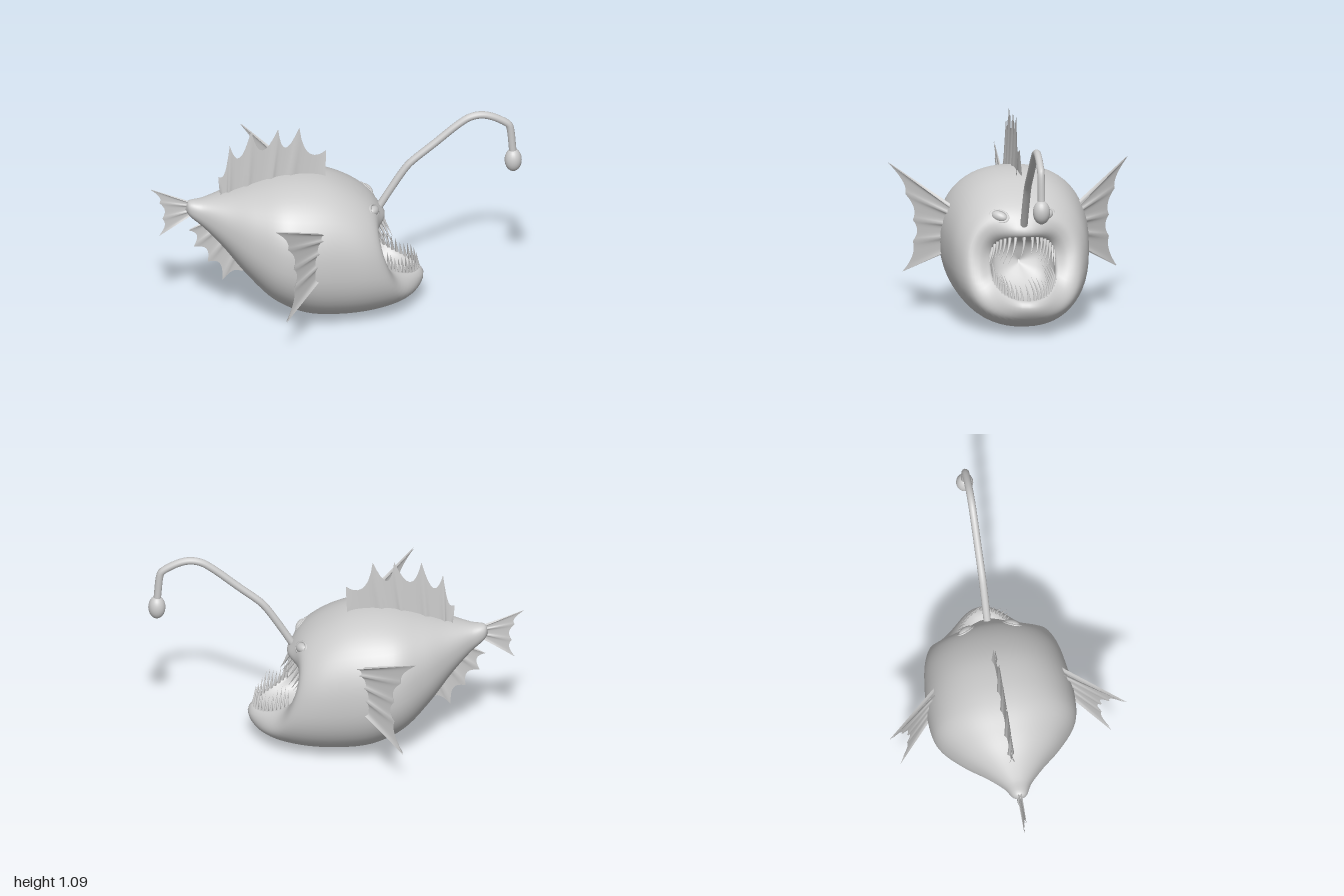
import * as THREE from 'three';

const mat = new THREE.MeshStandardMaterial({ color: 0xcccccc, side: THREE.DoubleSide });
const V = (x, y, z = 0) => new THREE.Vector3(x, y, z);

// Body sections, tail to lips and on into the mouth:
// top x, top y, bottom x, bottom y, half width, how far the sides sweep back
const sections = [
  [-0.81, 0.64, -0.81, 0.63, 0.003, 0],
  [-0.795, 0.677, -0.79, 0.595, 0.037, 0],
  [-0.72, 0.685, -0.72, 0.53, 0.075, 0],
  [-0.6, 0.71, -0.62, 0.42, 0.165, 0],
  [-0.46, 0.752, -0.5, 0.265, 0.285, 0],
  [-0.32, 0.787, -0.36, 0.12, 0.38, 0],
  [-0.2, 0.795, -0.19, 0.03, 0.397, 0],
  [-0.05, 0.775, 0, 0.003, 0.383, 0],
  [0.08, 0.72, 0.2, 0.014, 0.355, 0.01],
  [0.18, 0.65, 0.35, 0.05, 0.305, 0.04],
  [0.235, 0.585, 0.44, 0.1, 0.24, 0.1],
  [0.262, 0.535, 0.47, 0.165, 0.195, 0.15],
  [0.25, 0.508, 0.445, 0.2, 0.175, 0.15],
  [0.16, 0.5, 0.32, 0.18, 0.17, 0.1],
  [0.06, 0.45, 0.16, 0.2, 0.13, 0.04],
  [0.02, 0.34, 0.03, 0.32, 0.005, 0],
];
const topCurve = new THREE.CatmullRomCurve3(sections.map(s => V(s[0], s[1], s[4])));
const lowCurve = new THREE.CatmullRomCurve3(sections.map(s => V(s[2], s[3], s[5])));

// Point on the body skin: section number and angle from the top toward +z
function skin(section, angle) {
  const t = section / (sections.length - 1);
  const a = topCurve.getPoint(t), b = lowCurve.getPoint(t);
  const power = 2 / (2.25 + 0.5 * THREE.MathUtils.smoothstep(section, 8, 12));
  const round = v => Math.sign(v) * Math.abs(v) ** power;
  const c = round(Math.cos(angle)), s = round(Math.sin(angle));
  return V((a.x + b.x) / 2 + (a.x - b.x) / 2 * c - b.z * s * s,
    (a.y + b.y) / 2 + (a.y - b.y) / 2 * c, a.z * s);
}

function geometryFrom(points, index) {
  const g = new THREE.BufferGeometry().setFromPoints(points);
  g.setIndex(index);
  g.computeVertexNormals();
  return g;
}

function bodyGeometry() {
  const rings = (sections.length - 1) * 5, around = 56, points = [], index = [];
  for (let i = 0; i <= rings; i++)
    for (let j = 0; j < around; j++) points.push(skin(i / 5, j / around * Math.PI * 2));
  for (let i = 0; i < rings; i++)
    for (let j = 0; j < around; j++) {
      const a = i * around + j, b = i * around + (j + 1) % around;
      index.push(a, b, a + around, b, b + around, a + around);
    }
  return geometryFrom(points, index);
}

// Webbed fin: thick along the rays, thin and scalloped between them.
// Each ray is [root x, root y, tip x, tip y].
function finGeometry(rays, scallop, thickness) {
  const sub = 8, rows = 8, cols = (rays.length - 1) * sub, points = [], index = [];
  for (const side of [1, -1]) {
    const start = points.length;
    for (let i = 0; i <= cols; i++) {
      const k = Math.min(Math.floor(i / sub), rays.length - 2), f = i / sub - k;
      const r = rays[k].map((v, n) => v + (rays[k + 1][n] - v) * f);
      const reach = 1 - scallop * 4 * f * (1 - f);
      const ridge = 0.25 + 0.75 * (1 - 2 * f) ** 4;
      for (let j = 0; j <= rows; j++) {
        const v = j / rows, l = v * reach;
        points.push(V(r[0] + (r[2] - r[0]) * l, r[1] + (r[3] - r[1]) * l,
          side * thickness * ridge * (1 - 0.85 * v)));
      }
    }
    for (let i = 0; i < cols; i++)
      for (let j = 0; j < rows; j++) {
        const a = start + i * (rows + 1) + j, b = a + rows + 1;
        if (side > 0) index.push(a, a + 1, b, b, a + 1, b + 1);
        else index.push(a, b, a + 1, b, b + 1, a + 1);
      }
  }
  return geometryFrom(points, index);
}

// Curved tooth with its root at the origin, pointing up and hooking toward +z
function toothGeometry(length) {
  const g = new THREE.ConeGeometry(0.0095, length, 7, 5).translate(0, length / 2, 0);
  const p = g.attributes.position;
  for (let i = 0; i < p.count; i++) p.setZ(i, p.getZ(i) + 0.25 * length * (p.getY(i) / length) ** 2);
  g.computeVertexNormals();
  return g;
}

export function createModel() {
  const model = new THREE.Group();
  const add = (name, geometry, parent = model) => {
    const m = new THREE.Mesh(geometry, mat);
    m.name = name;
    parent.add(m);
    return m;
  };

  add('body', bodyGeometry());

  // Fins on the centre line
  add('dorsalFin', finGeometry([
    [-0.62, 0.68, -0.632, 0.8], [-0.58, 0.69, -0.57, 0.985], [-0.48, 0.72, -0.455, 1.065],
    [-0.35, 0.75, -0.31, 1.065], [-0.25, 0.76, -0.195, 1.065], [-0.06, 0.74, -0.052, 0.92],
  ], 0.36, 0.02)).position.z = -0.012;
  add('tailFin', finGeometry([
    [-0.77, 0.665, -1, 0.765], [-0.77, 0.65, -0.95, 0.68],
    [-0.77, 0.625, -0.935, 0.585], [-0.77, 0.605, -0.95, 0.485],
  ], 0.12, 0.012));
  add('bellyFin', finGeometry([
    [-0.7, 0.55, -0.795, 0.505], [-0.66, 0.49, -0.765, 0.405], [-0.6, 0.43, -0.69, 0.31],
    [-0.54, 0.36, -0.61, 0.195], [-0.47, 0.28, -0.505, 0.24],
  ], 0.3, 0.014));

  // Side fins, swept back at 45 degrees
  const sideFin = finGeometry([
    [-0.02, 0.59, 0.44, 0.79], [-0.02, 0.56, 0.325, 0.635], [0, 0.51, 0.275, 0.5],
    [0, 0.45, 0.275, 0.385], [-0.02, 0.39, 0.345, 0.21],
  ], 0.1, 0.02);
  for (const side of [1, -1]) {
    const fin = add(side > 0 ? 'leftSideFin' : 'rightSideFin', sideFin);
    fin.position.set(-0.11, 0, side * 0.33);
    fin.rotation.y = -side * Math.PI * 0.75;
  }

  // Slanted eyes with lids
  for (const side of [1, -1]) {
    const eye = new THREE.Group();
    eye.name = side > 0 ? 'leftEye' : 'rightEye';
    eye.position.set(0.185, 0.612, side * 0.125);
    eye.lookAt(eye.position.clone().add(V(0.8, 0.5, side * 0.3)));
    eye.rotateZ(-side * 0.3);
    add('eyeball', new THREE.SphereGeometry(1, 20, 14), eye).scale.set(0.045, 0.027, 0.024);
    add('eyelid', new THREE.TorusGeometry(1, 0.2, 8, 28), eye).scale.set(0.05, 0.032, 0.04);
    model.add(eye);
  }

  // Fishing rod and lure
  const rod = new THREE.CatmullRomCurve3([
    V(0.22, 0.55), V(0.3, 0.68), V(0.37, 0.785), V(0.4, 0.82), V(0.53, 0.925), V(0.66, 1.03),
    V(0.72, 1.066), V(0.78, 1.076), V(0.84, 1.062), V(0.92, 1.017), V(0.934, 1), V(0.953, 0.84),
  ]);
  add('lureRod', new THREE.TubeGeometry(rod, 80, 0.02, 12));
  add('lureBulb', new THREE.SphereGeometry(1, 24, 16)).scale.set(0.046, 0.065, 0.046);
  model.getObjectByName('lureBulb').position.set(0.954, 0.795, 0);

  // Teeth along both lips, lengths varied by a simple wave
  const row = (name, count, centre, spread, reach, direction) => {
    const teeth = new THREE.Group();
    teeth.name = name;
    for (let i = 0; i < count; i++) {
      const u = i / (count - 1) * 2 - 1, wave = Math.sin(i * 7.3 + count);
      const tooth = add('tooth', toothGeometry(reach * (1 + 0.22 * wave)), teeth);
      tooth.position.copy(skin(12.05, centre + u * spread));
      const aim = V(direction.x, direction.y, u * direction.z + 0.08 * wave).normalize();
      tooth.quaternion.setFromUnitVectors(V(0, 1, 0), aim);
    }
    model.add(teeth);
  };
  row('upperTeeth', 17, 0, 1.25, 0.12, V(0.5, -1, 0.1));
  row('lowerTeeth', 21, Math.PI, 1.15, 0.105, V(-0.15, 1, 0.15));

  return model;
}
